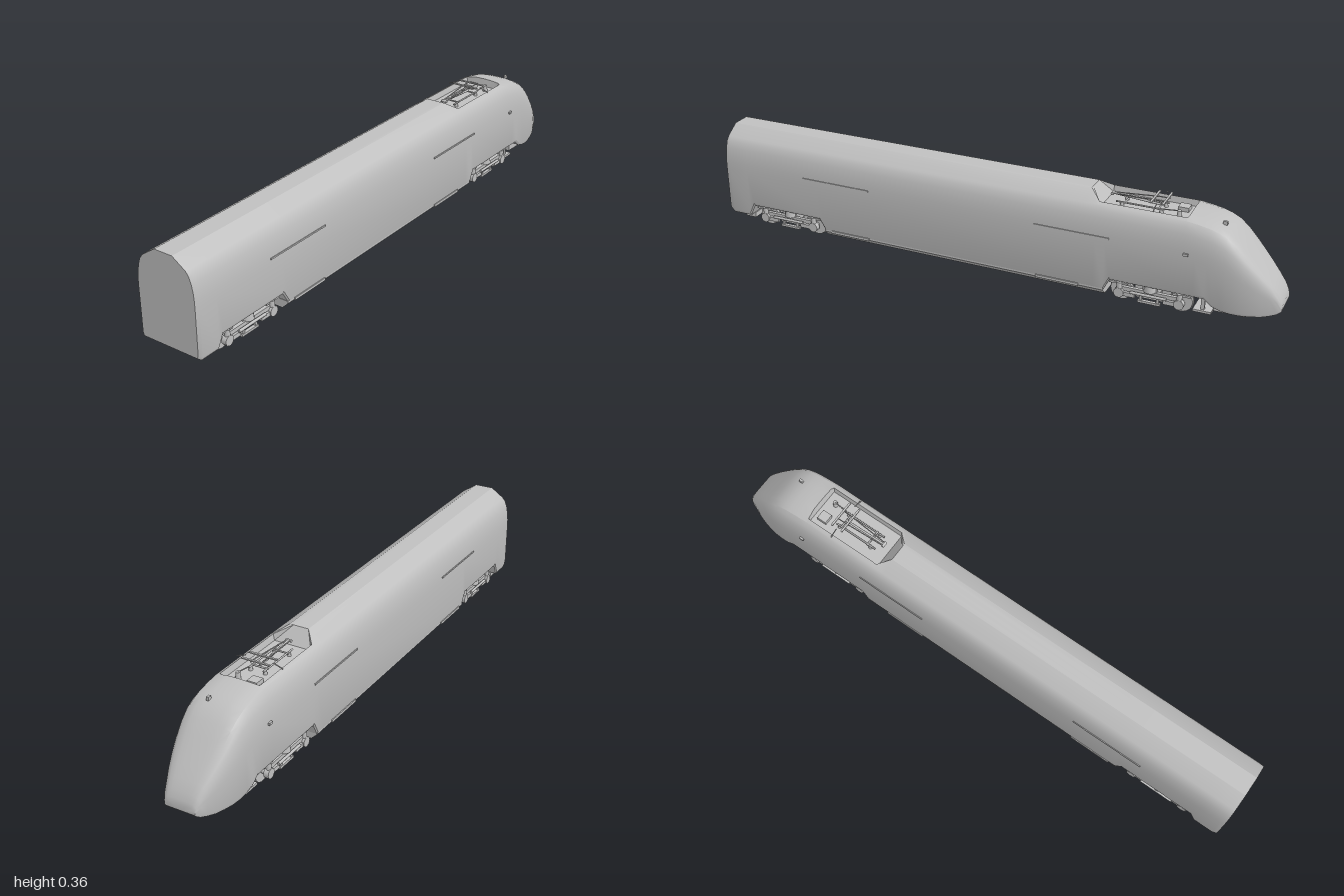
import * as THREE from 'three';
import { toCreasedNormals } from 'three/addons/utils/BufferGeometryUtils.js';

const grey = new THREE.MeshStandardMaterial({ color: 0xbfbfbf });
grey.name = 'grey';

function add(parent, name, geometry, x = 0, y = 0, z = 0) {
  const mesh = new THREE.Mesh(geometry, grey);
  mesh.name = name;
  mesh.position.set(x, y, z);
  parent.add(mesh);
  return mesh;
}
const box = (parent, name, w, h, d, x, y, z) =>
  add(parent, name, new THREE.BoxGeometry(w, h, d), x, y, z);

// Cylinder lying across the vehicle
function roller(parent, name, r, w, x, y, z, sides = 28) {
  return add(parent, name, new THREE.CylinderGeometry(r, r, w, sides).rotateZ(Math.PI / 2), x, y, z);
}

// Straight rod between two points
function rod(parent, name, a, b, r = 0.002) {
  const p = new THREE.Vector3(...a), q = new THREE.Vector3(...b);
  const mesh = add(parent, name, new THREE.CylinderGeometry(r, r, p.distanceTo(q), 8));
  mesh.position.copy(p).add(q).multiplyScalar(0.5);
  mesh.quaternion.setFromUnitVectors(new THREE.Vector3(0, 1, 0), q.sub(p).normalize());
}

// Roof outlines: raised saloon roof, pantograph well, smooth nose
const ROOFS = {
  full: [[0.034, 0.362], [0.02, 0.362], [0, 0.362]],
  well: [[0.07, 0.336], [0.066, 0.314], [0, 0.314]],
  nose: [[0.06, 0.338], [0.035, 0.341], [0, 0.342]],
};

// One closed cross-section of the body shell
function section([z, w, yb, yt, roof]) {
  const k = roof === 'nose' ? (yt - 0.045) / 0.297 : 1, s = w / 0.11;
  const upper = [[0.11, 0.215], [0.1095, 0.242], [0.107, 0.268], [0.102, 0.294], [0.094, 0.316], [0.083, 0.33], ...ROOFS[roof]]
    .map(([x, y]) => [x * s, 0.045 + (y - 0.045) * k]);
  const half = [[0, yb], [w * 0.95, yb], [w * 0.99, yb + Math.min(0.01, (yt - yb) * 0.15)], ...upper];
  const other = half.slice(1, -1).reverse().map(([x, y]) => [-x, y]);
  return [...half, ...other].map(([x, y]) => [x, y, z]);
}

function loft(stations) {
  const rings = stations.map(section), n = rings[0].length;
  const pos = rings.flat(2), idx = [];
  for (let i = 0; i < rings.length - 1; i++) {
    for (let j = 0; j < n; j++) {
      const a = i * n + j, b = i * n + (j + 1) % n;
      idx.push(a, a + n, b, b, a + n, b + n);
    }
  }
  const last = (rings.length - 1) * n;
  for (let j = 1; j < n - 1; j++) {
    idx.push(0, j, j + 1, last, last + j + 1, last + j);
  }
  const g = new THREE.BufferGeometry();
  g.setAttribute('position', new THREE.Float32BufferAttribute(pos, 3));
  g.setIndex(idx);
  return toCreasedNormals(g, 0.5);
}

// Two-axle bogie
function bogie(zc, name) {
  const g = new THREE.Group();
  g.name = name;
  g.position.z = zc;
  for (const z of [-0.1, 0.1]) {
    roller(g, 'axle', 0.008, 0.17, 0, 0.041, z, 12);
    roller(g, 'gearbox', 0.022, 0.03, 0.02, 0.043, z, 16);
    for (const s of [-1, 1]) {
      roller(g, 'wheel', 0.037, 0.011, s * 0.061, 0.041, z);
      roller(g, 'wheelFlange', 0.04, 0.003, s * 0.0545, 0.041, z);
      roller(g, 'axleBox', 0.017, 0.018, s * 0.09, 0.041, z, 14);
      box(g, 'axleBoxArm', 0.01, 0.014, 0.05, s * 0.09, 0.038, z - Math.sign(z) * 0.028);
      add(g, 'primarySpring', new THREE.CylinderGeometry(0.009, 0.009, 0.022, 12), s * 0.09, 0.066, z);
    }
  }
  for (const s of [-1, 1]) {
    box(g, 'sideFrame', 0.012, 0.014, 0.2, s * 0.084, 0.055, 0);
    box(g, 'frameEnd', 0.012, 0.007, 0.06, s * 0.084, 0.072, 0.105);
    box(g, 'frameEnd', 0.012, 0.007, 0.06, s * 0.084, 0.072, -0.105);
    add(g, 'airSpring', new THREE.CylinderGeometry(0.018, 0.021, 0.026, 16), s * 0.08, 0.073, 0);
    box(g, 'brakeRail', 0.012, 0.008, 0.075, s * 0.085, 0.021, 0);
    for (const z of [-0.028, 0.028]) box(g, 'railHanger', 0.007, 0.032, 0.009, s * 0.085, 0.037, z);
    rod(g, 'yawDamper', [s * 0.099, 0.052, -0.06], [s * 0.099, 0.052, 0.06], 0.005);
  }
  box(g, 'crossBeam', 0.165, 0.03, 0.05, 0, 0.058, 0);
  box(g, 'underPlate', 0.16, 0.006, 0.09, 0, 0.033, 0);
  for (const z of [-0.045, 0.045]) box(g, 'tractionMotor', 0.08, 0.03, 0.035, 0, 0.052, z);
  return g;
}

// Roof current collector
function pantograph() {
  const g = new THREE.Group();
  g.name = 'pantograph';
  for (const s of [-1, 1]) {
    rod(g, 'baseRail', [s * 0.026, 0.327, -0.44], [s * 0.026, 0.327, -0.6], 0.003);
    for (const z of [-0.46, -0.59]) {
      add(g, 'insulator', new THREE.CylinderGeometry(0.005, 0.007, 0.014, 10), s * 0.026, 0.32, z);
    }
    rod(g, 'upperArm', [s * 0.006, 0.342, -0.42], [s * 0.016, 0.35, -0.575]);
    rod(g, 'headHorn', [s * 0.05, 0.353, -0.58], [s * 0.082, 0.342, -0.58]);
    rod(g, 'headLink', [s * 0.016, 0.35, -0.555], [s * 0.016, 0.35, -0.605]);
  }
  rod(g, 'lowerArm', [0, 0.331, -0.58], [0, 0.342, -0.42], 0.004);
  rod(g, 'baseCross', [-0.03, 0.327, -0.47], [0.03, 0.327, -0.47], 0.003);
  rod(g, 'baseCross', [-0.03, 0.327, -0.58], [0.03, 0.327, -0.58], 0.003);
  roller(g, 'knuckle', 0.005, 0.02, 0, 0.341, -0.42, 10);
  for (const z of [-0.56, -0.6]) box(g, 'contactStrip', 0.1, 0.004, 0.007, 0, 0.354, z);
  box(g, 'breakerBox', 0.035, 0.014, 0.035, -0.03, 0.321, -0.65);
  add(g, 'roofInsulator', new THREE.CylinderGeometry(0.007, 0.009, 0.022, 12), 0.03, 0.325, -0.65);
  rod(g, 'busBar', [0.03, 0.335, -0.65], [0.026, 0.328, -0.59]);
  return g;
}

export function createModel() {
  const train = new THREE.Group();
  train.name = 'locomotive';

  // Body shell: z, half width, bottom, top, roof type
  add(train, 'bodyShell', loft([
    [1, 0.108, 0.056, 0.362, 'full'],
    [0.985, 0.11, 0.044, 0.362, 'full'],
    [0.915, 0.11, 0.044, 0.362, 'full'],
    [0.895, 0.11, 0.086, 0.362, 'full'],
    [0.625, 0.11, 0.086, 0.362, 'full'],
    [0.6, 0.11, 0.044, 0.362, 'full'],
    [-0.36, 0.11, 0.044, 0.362, 'full'],
    [-0.4, 0.11, 0.044, 0.336, 'well'],
    [-0.435, 0.11, 0.044, 0.336, 'well'],
    [-0.455, 0.11, 0.086, 0.336, 'well'],
    [-0.685, 0.11, 0.086, 0.34, 'well'],
    [-0.69, 0.11, 0.086, 0.342, 'nose'],
    [-0.73, 0.11, 0.086, 0.336, 'nose'],
    [-0.765, 0.11, 0.085, 0.329, 'nose'],
    [-0.79, 0.1095, 0.064, 0.321, 'nose'],
    [-0.82, 0.108, 0.054, 0.306, 'nose'],
    [-0.85, 0.105, 0.049, 0.281, 'nose'],
    [-0.88, 0.1, 0.047, 0.249, 'nose'],
    [-0.91, 0.092, 0.047, 0.216, 'nose'],
    [-0.94, 0.082, 0.048, 0.182, 'nose'],
    [-0.965, 0.071, 0.052, 0.153, 'nose'],
    [-0.985, 0.063, 0.058, 0.126, 'nose'],
    [-0.996, 0.057, 0.065, 0.104, 'nose'],
    [-1, 0.053, 0.07, 0.092, 'nose'],
  ]));

  // Chamfered equipment skirt between the bogies
  const skirt = new THREE.Shape([[-0.084, 0.021], [0.084, 0.021], [0.107, 0.043], [0.107, 0.05], [-0.107, 0.05], [-0.107, 0.043]]
    .map(([x, y]) => new THREE.Vector2(x, y)));
  add(train, 'underfloorSkirt', new THREE.ExtrudeGeometry(skirt, { depth: 1.04, bevelEnabled: false }), 0, 0, -0.435);

  train.add(bogie(0.76, 'rearBogie'), bogie(-0.585, 'frontBogie'), pantograph());

  // Low fittings at both ends
  box(train, 'rearFlap', 0.17, 0.018, 0.04, 0, 0.036, 0.93);
  box(train, 'noseGuard', 0.13, 0.024, 0.1, 0, 0.041, -0.84);
  box(train, 'railGuardBeam', 0.15, 0.008, 0.06, 0, 0.022, -0.755);

  for (const s of [-1, 1]) {
    // Side strips, sill strips and cab camera
    for (const [z, sill] of [[0.55, 0.5], [-0.32, -0.275]]) {
      box(train, 'sideStrip', 0.004, 0.005, 0.26, s * 0.1105, 0.232, z);
      box(train, 'sillStrip', 0.005, 0.009, 0.15, s * 0.1085, 0.046, sill);
    }
    box(train, 'cabCamera', 0.008, 0.008, 0.016, s * 0.112, 0.23, -0.7);
    box(train, 'guardBracket', 0.01, 0.06, 0.012, s * 0.062, 0.056, -0.755);
  }
  // Roof antenna
  box(train, 'roofAntenna', 0.008, 0.012, 0.014, 0.03, 0.323, -0.797);
  return train;
}
